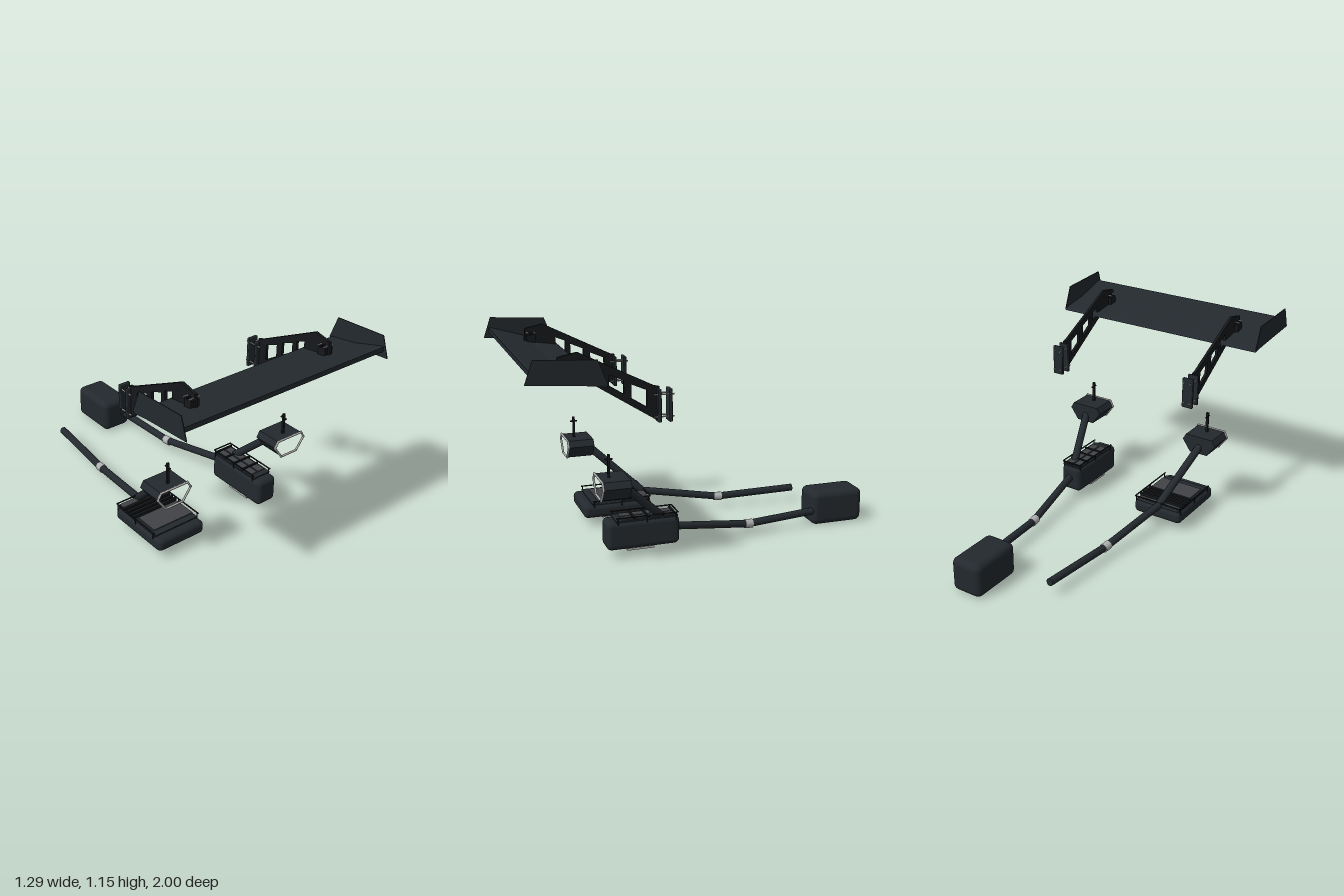
import * as THREE from 'three';
import { RoundedBoxGeometry } from 'three/addons/geometries/RoundedBoxGeometry.js';

const mat = (color) => new THREE.MeshStandardMaterial({ color });

export function createModel() {
  const model = new THREE.Group();
  const dark = mat(0x23292e), black = mat(0x16181b), panel = mat(0x404346), steel = mat(0xb0b0b0);

  const group = (name, parent = model) => {
    const g = new THREE.Group();
    g.name = name;
    parent.add(g);
    return g;
  };
  const add = (parent, name, geometry, material, x = 0, y = 0, z = 0) => {
    const m = new THREE.Mesh(geometry, material);
    m.name = name;
    m.position.set(x, y, z);
    parent.add(m);
    return m;
  };
  const box = (parent, name, material, w, h, d, x, y, z) =>
    add(parent, name, new THREE.BoxGeometry(w, h, d), material, x, y, z);
  // Round bar between two points
  const rod = (parent, name, material, a, b, r, sides = 12) => {
    const p = new THREE.Vector3(...a), q = new THREE.Vector3(...b);
    const m = add(parent, name, new THREE.CylinderGeometry(r, r, p.distanceTo(q), sides), material);
    m.position.copy(p).add(q).multiplyScalar(0.5);
    m.quaternion.setFromUnitVectors(new THREE.Vector3(0, 1, 0), q.sub(p).normalize());
    return m;
  };
  // Bent pipe: straight runs joined by balls
  const pipe = (parent, name, points, r) => points.forEach((p, i) => {
    if (i === 0) return;
    rod(parent, name, dark, points[i - 1], p, r, 20);
    if (i < points.length - 1) add(parent, name + 'Bend', new THREE.SphereGeometry(r, 20, 12), dark, ...p);
  });
  const shapeOf = (pts) => new THREE.Shape(pts.map(([a, b]) => new THREE.Vector2(a, b)));
  // Side profile given as [z, y], extruded across x and centred on x = 0
  const sideExtrude = (shape, width) => new THREE.ExtrudeGeometry(shape, { depth: width, bevelEnabled: false })
    .rotateY(-Math.PI / 2).translate(width / 2, 0, 0);

  // Wing blade with an upturned lip, and its end plates
  const wing = group('wing');
  add(wing, 'wingBlade', sideExtrude(shapeOf([
    [0.6, 1.003], [0.78, 1.026], [0.97, 1.07], [0.97, 1.097], [0.955, 1.097], [0.78, 1.045], [0.62, 1.02],
  ]), 1.29), dark);
  for (const s of [-1, 1]) {
    add(wing, 'endPlate', sideExtrude(shapeOf([[1.0, 1.04], [0.96, 1.157], [0.65, 1.14], [0.6, 1.01]]), 0.005),
      dark, s * 0.645);
  }

  // Wing supports with windows, clamp bars and bolted mounting plates
  const topEdge = (z) => 1.09 + (z - 0.6) * 0.5;
  const lowEdge = (z) => 1.02 + (z - 0.7) * 0.634;
  const strutShape = shapeOf([[0.285, 0.757], [0.7, 1.02], [0.81, 1.04], [0.8, 1.12], [0.7, 1.14], [0.31, 0.945], [0.285, 0.94]]);
  for (const [a, b] of [[0.35, 0.43], [0.47, 0.545], [0.575, 0.63]]) {
    strutShape.holes.push(new THREE.Path([
      [a, lowEdge(a) + 0.04], [a, topEdge(a) - 0.04], [b, topEdge(b) - 0.045], [b, lowEdge(b) + 0.04],
    ].map(([z, y]) => new THREE.Vector2(z, y))));
  }
  for (const s of [-1, 1]) {
    const x = s * 0.433;
    const support = group('wingSupport', wing);
    add(support, 'supportArm', sideExtrude(strutShape, 0.016), black, x);
    for (const z of [0.288, 0.23])
      add(support, 'mountPlate', new RoundedBoxGeometry(0.064, 0.172, 0.018, 2, 0.005), dark, x, 0.842, z);
    for (const y of [0.785, 0.9]) for (const dx of [-0.02, 0.02])
      rod(support, 'mountBolt', steel, [x + dx, y, 0.315], [x + dx, y, 0.21], 0.004, 8);
    for (const z of [0.75, 0.77, 0.79])
      rod(support, 'clampBar', z === 0.77 ? black : steel, [x - 0.033, 1.095, z], [x + 0.033, 1.095, z], 0.004, 8);
    for (const dx of [-0.02, 0.02]) box(support, 'clampFoot', black, 0.024, 0.05, 0.05, x + dx * 0.7, 1.06, 0.77);
  }

  // Exhaust tips: open six-sided shells with a bright rim, fed by a bent pipe
  const hex = [[0.085, 0.475], [0.105, 0.44], [0.055, 0.37], [-0.055, 0.37], [-0.105, 0.44], [-0.085, 0.475]];
  const shell = shapeOf(hex);
  shell.holes.push(new THREE.Path(hex.map(([x, y]) => new THREE.Vector2(x * 0.95, 0.425 + (y - 0.425) * 0.9))));
  for (const s of [-1, 1]) {
    const x = s * 0.398;
    const tip = group('exhaustTip');
    add(tip, 'tipShell', new THREE.ExtrudeGeometry(shell, { depth: 0.15, bevelEnabled: false }), dark, x, 0, 0.45);
    add(tip, 'tipBack', new THREE.ShapeGeometry(shapeOf(hex)).rotateY(Math.PI), dark, x, 0, 0.45);
    hex.forEach(([hx, hy], i) => {
      const [nx, ny] = hex[(i + 1) % hex.length];
      rod(tip, 'tipRim', steel, [x + hx, hy, 0.6], [x + nx, ny, 0.6], 0.006, 8);
      add(tip, 'rimCorner', new THREE.SphereGeometry(0.007, 8, 6), steel, x + hx, hy, 0.6);
    });
    // Hanger
    box(tip, 'hanger', black, 0.014, 0.125, 0.012, x, 0.533, 0.545);
    rod(tip, 'hangerPin', black, [x, 0.57, 0.565], [x, 0.57, 0.525], 0.005, 8);
    pipe(tip, 'tipPipe', [[x, 0.412, 0.5], [x, 0.41, 0.46], [s * 0.31, 0.14, 0.17]], 0.022);
  }

  // Front silencers: rounded box, raised top panels, guard rails, base plate
  const silencer = (name, x0, x1, top) => {
    const g = group(name);
    const w = x1 - x0, cx = (x0 + x1) / 2, h = top - 0.05;
    add(g, 'silencerBody', new RoundedBoxGeometry(w, h, 0.4, 4, 0.028), dark, cx, 0.05 + h / 2, 0.35);
    box(g, 'basePlate', steel, w * 0.8, 0.012, 0.15, cx, 0.047, 0.365);
    box(g, 'topDeck', dark, w * 0.92, 0.008, 0.34, cx, top + 0.002, 0.33);
    const ry = top + 0.022;
    for (const x of [x0 + 0.005, x1 - 0.005]) {
      rod(g, 'guardRail', black, [x, ry, 0.16], [x, ry, 0.5], 0.004, 8);
      for (const z of [0.17, 0.33, 0.49]) rod(g, 'railPost', black, [x, top - 0.02, z], [x, ry, z], 0.003, 8);
    }
    rod(g, 'guardRail', black, [x0 + 0.005, ry, 0.16], [x1 - 0.005, ry, 0.16], 0.004, 8);
    return { g, w, cx };
  };
  const flat = silencer('flatSilencer', -0.456, -0.15, 0.128);
  box(flat.g, 'topPanel', panel, 0.26, 0.006, 0.14, flat.cx + 0.01, 0.136, 0.39);
  box(flat.g, 'rearPanel', panel, 0.26, 0.006, 0.04, flat.cx, 0.136, 0.18);
  for (let i = 0; i < 4; i++)
    box(flat.g, 'slat', black, 0.29, 0.014, 0.016, flat.cx, 0.142, 0.215 + i * 0.03);

  const tall = silencer('tallSilencer', 0.235, 0.366, 0.207);
  for (let i = 0; i < 4; i++) {
    for (const dx of [-0.027, 0.027])
      box(tall.g, 'topPanel', panel, 0.045, 0.006, 0.06, tall.cx + dx, 0.215, 0.21 + i * 0.075);
    box(tall.g, 'slat', black, 0.12, 0.012, 0.01, tall.cx, 0.217, 0.172 + i * 0.075);
  }

  // Long pipes with bright joint collars
  for (const s of [-1, 1]) {
    const line = group('longPipe');
    const end = s < 0 ? [-0.212, 0.085, -0.76] : [0.212, 0.085, -0.72];
    const joint = [s * 0.247, 0.068, -0.29];
    pipe(line, 'pipeRun', [end, joint, [s * 0.312, 0.135, 0.17]], 0.021);
    rod(line, 'jointCollar', steel, [s * 0.245, 0.067, -0.312], [s * 0.249, 0.07, -0.267], 0.025, 24);
  }

  // Large rear silencer at the end of one pipe
  add(model, 'rearSilencer', new RoundedBoxGeometry(0.186, 0.196, 0.31, 5, 0.036), dark, 0.153, 0.1, -0.845);

  return model;
}
